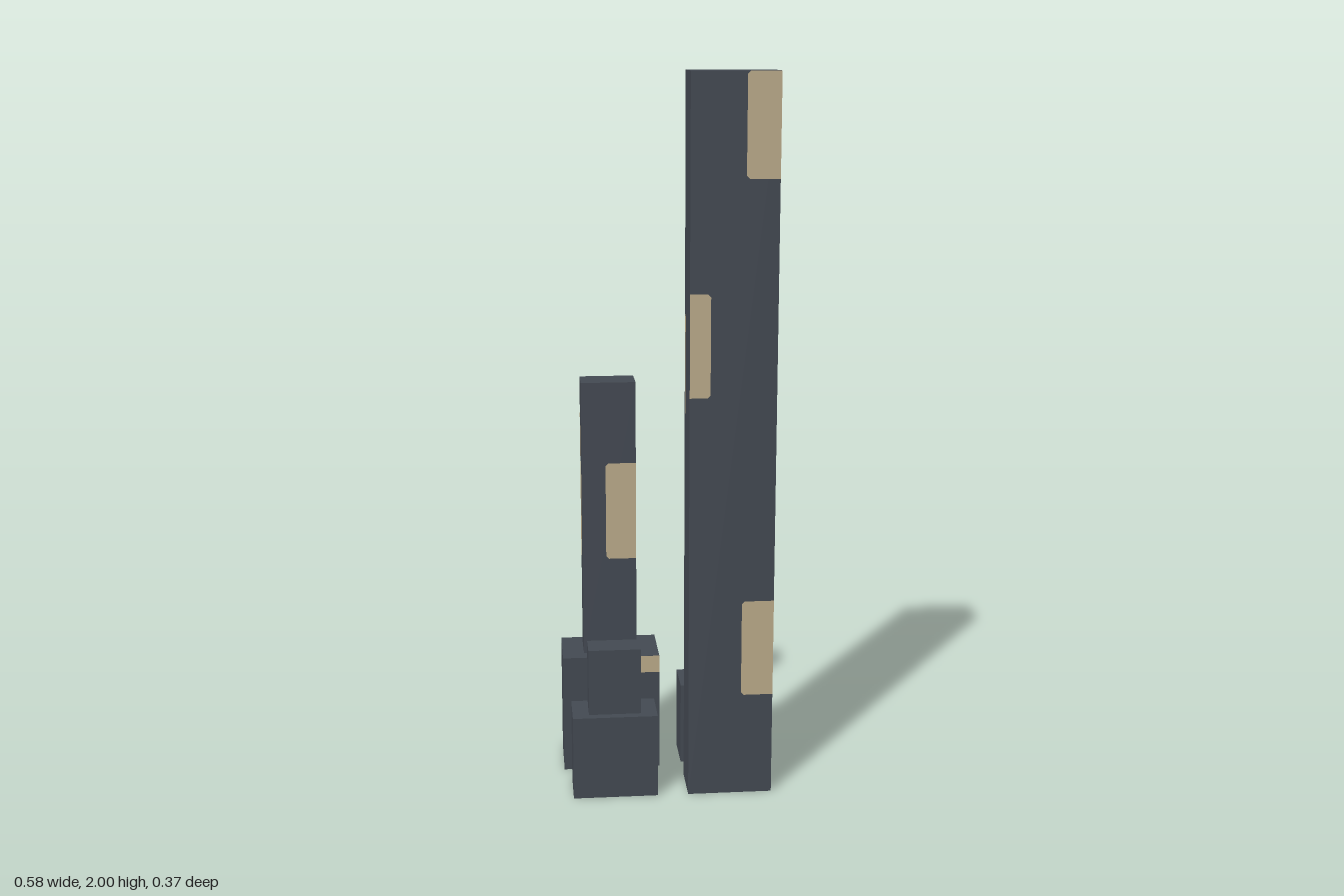
import * as THREE from 'three';

const wall = new THREE.MeshStandardMaterial({ color: 0x444a53 });
wall.name = 'slateWall';
const lit = new THREE.MeshStandardMaterial({ color: 0xbcac8b });
lit.name = 'litWindow';

// Rotation that turns a +z plate onto each side of a block
const TURN = { front: 0, right: Math.PI / 2, back: Math.PI, left: -Math.PI / 2 };

// Block given by its x range, y range and z range
function block(parent, name, [x0, x1], [y0, y1], [z0, z1]) {
  const mesh = new THREE.Mesh(new THREE.BoxGeometry(x1 - x0, y1 - y0, z1 - z0), wall);
  mesh.name = name;
  mesh.position.set((x0 + x1) / 2, (y0 + y1) / 2, (z0 + z1) / 2);
  parent.add(mesh);
  return { parent, x0, x1, z0, z1 };
}

// Window plate: u runs from the left edge of the side as seen from outside;
// corners are clipped where the plate does not meet the block's edge
function windowPlate(b, side, u0, u1, y0, y1) {
  const alongX = side === 'front' || side === 'back';
  const w = alongX ? b.x1 - b.x0 : b.z1 - b.z0;
  const depth = alongX ? b.z1 - b.z0 : b.x1 - b.x0;
  const l = u0 > 0.001 ? 0.008 : 0;
  const r = u1 < w - 0.001 ? 0.008 : 0;
  const shape = new THREE.Shape([
    [u0 + l, y0], [u1 - r, y0], [u1, y0 + r], [u1, y1 - r],
    [u1 - r, y1], [u0 + l, y1], [u0, y1 - l], [u0, y0 + l],
  ].map(([u, y]) => new THREE.Vector2(u - w / 2, y)));
  const geometry = new THREE.ShapeGeometry(shape);
  geometry.translate(0, 0, depth / 2 + 0.0015);
  geometry.rotateY(TURN[side]);
  const mesh = new THREE.Mesh(geometry, lit);
  mesh.name = side + 'Window';
  mesh.position.set((b.x0 + b.x1) / 2, 0, (b.z0 + b.z1) / 2);
  b.parent.add(mesh);
}

function building(root, name) {
  const group = new THREE.Group();
  group.name = name;
  root.add(group);
  return group;
}

export function createModel() {
  const root = new THREE.Group();
  root.name = 'towerBlocks';

  // Tallest tower, one plain slab
  const tall = block(building(root, 'tallTower'), 'tallShaft', [0.053, 0.289], [0, 2], [0.053, 0.181]);
  for (const [y0, y1] of [[1.725, 2], [0.295, 0.57]]) {
    for (const side of ['front', 'back']) windowPlate(tall, side, 0.147, 0.236, y0, y1);
    windowPlate(tall, 'right', 0.035, 0.128, y0, y1);
  }
  for (const side of ['front', 'back']) windowPlate(tall, side, 0, 0.056, 1.145, 1.425);
  windowPlate(tall, 'left', 0.018, 0.036, 1.08, 1.36);

  // Middle tower on a broad base
  const middle = building(root, 'middleTower');
  const base = block(middle, 'middleBase', [-0.29, -0.012], [0, 0.345], [-0.183, -0.012]);
  const shaft = block(middle, 'middleShaft', [-0.228, -0.075], [0.345, 1.145], [-0.145, -0.05]);
  for (const side of ['front', 'back']) {
    windowPlate(base, side, 0.19, 0.278, 0.295, 0.345);
    windowPlate(shaft, side, 0.067, 0.153, 0.63, 0.912);
  }
  windowPlate(base, 'right', 0.083, 0.171, 0.295, 0.345);
  windowPlate(shaft, 'right', 0.007, 0.095, 0.63, 0.912);
  windowPlate(shaft, 'left', 0.028, 0.088, 0.63, 0.912);
  windowPlate(shaft, 'left', 0.028, 0.058, 0.912, 1.05);

  // Two low stepped buildings
  const front = building(root, 'frontLowBuilding');
  block(front, 'frontLowBase', [-0.27, -0.033], [0, 0.24], [0.053, 0.181]);
  block(front, 'frontLowTop', [-0.224, -0.078], [0.24, 0.43], [0.077, 0.157]);
  const back = building(root, 'backLowBuilding');
  block(back, 'backLowBase', [0.053, 0.289], [0, 0.24], [-0.162, -0.034]);
  block(back, 'backLowTop', [0.098, 0.243], [0.24, 0.43], [-0.139, -0.057]);

  return root;
}
